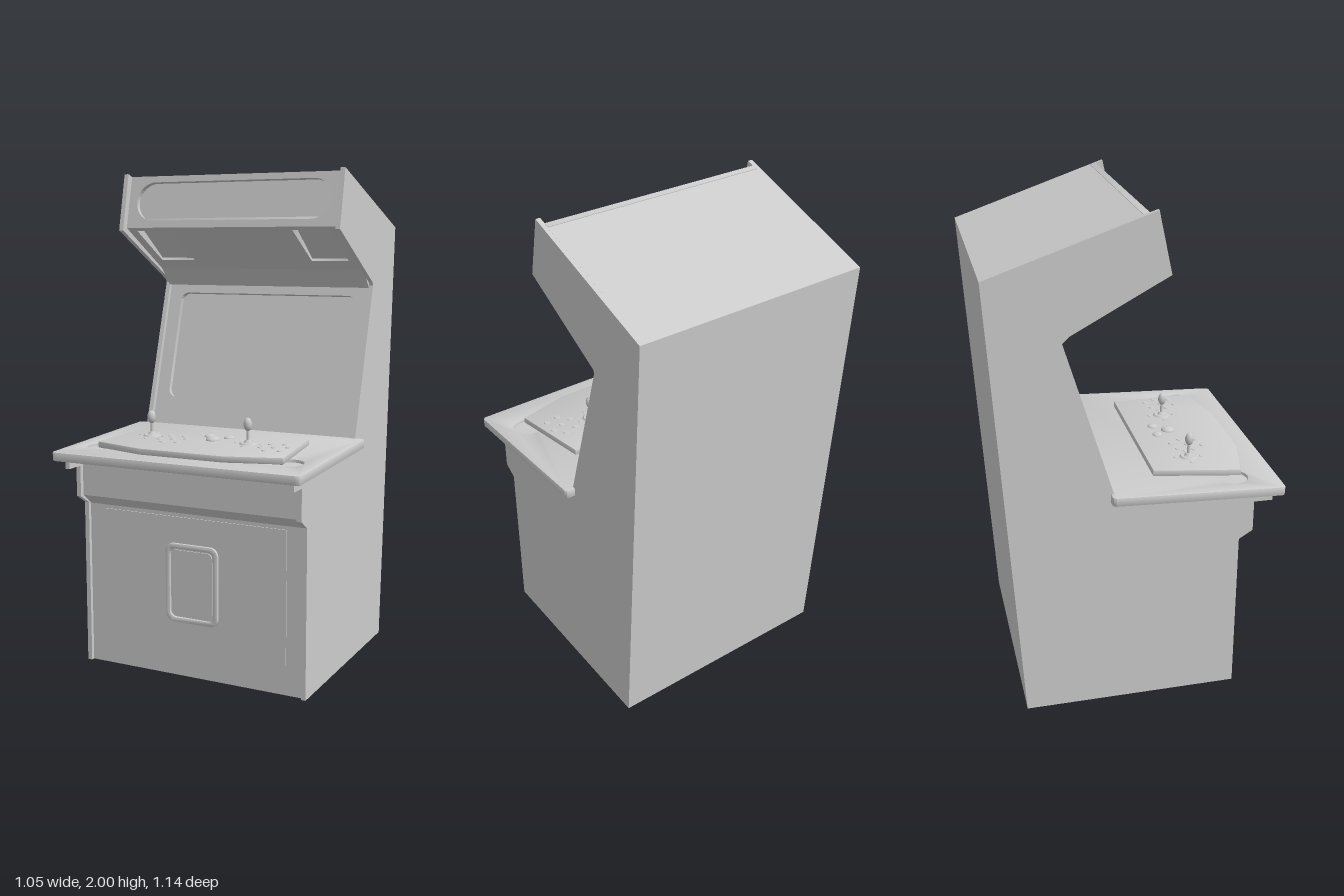
import * as THREE from 'three';
import { toCreasedNormals } from 'three/addons/utils/BufferGeometryUtils.js';

const mat = new THREE.MeshStandardMaterial({ color: 0xcccccc });

function add(parent, name, geo, x = 0, y = 0, z = 0) {
  const m = new THREE.Mesh(geo, mat);
  m.name = name;
  m.position.set(x, y, z);
  parent.add(m);
  return m;
}

const poly = (pts) => new THREE.Shape(pts.map(([x, y]) => new THREE.Vector2(x, y)));

// Rounded rectangle outline; works for shapes and for holes
function roundRect(x0, y0, x1, y1, r) {
  const s = new THREE.Shape();
  s.absarc(x1 - r, y0 + r, r, -Math.PI / 2, 0);
  s.absarc(x1 - r, y1 - r, r, 0, Math.PI / 2);
  s.absarc(x0 + r, y1 - r, r, Math.PI / 2, Math.PI);
  s.absarc(x0 + r, y0 + r, r, Math.PI, Math.PI * 1.5);
  s.closePath();
  return s;
}

// Extrusion with an optional small bevel that keeps the outline size
function extrude(shape, depth, bevel = 0) {
  const g = new THREE.ExtrudeGeometry(shape, {
    depth: depth - 2 * bevel, curveSegments: 10, bevelEnabled: bevel > 0,
    bevelThickness: bevel, bevelSize: bevel, bevelOffset: -bevel, bevelSegments: 2,
  });
  g.translate(0, 0, bevel);
  return toCreasedNormals(g, 0.6);
}

// Side outline given as (z, y), extruded across x
function acrossX(pts, x0, x1) {
  const g = extrude(poly(pts), x1 - x0);
  g.rotateY(-Math.PI / 2);
  g.translate(x1, 0, 0);
  return g;
}

// Plan outline given as (x, -z), standing up from local y = 0
function upright(shape, height, bevel) {
  const g = extrude(shape, height, bevel);
  g.rotateX(-Math.PI / 2);
  return g;
}

// Sloped face plate with cut-outs, running from a low to a high (z, y) point
function facePlate(parent, name, [z0, y0], [z1, y1], depth, holes) {
  const len = Math.hypot(z1 - z0, y1 - y0);
  const s = roundRect(-0.47, 0, 0.47, len, 0.001);
  s.holes.push(...holes);
  const g = extrude(s, depth);
  g.translate(0, 0, -depth);
  const m = add(parent, name, g, 0, y0, z0);
  m.rotation.x = Math.atan2(z1 - z0, y1 - y0);
  return m;
}

function addJoystick(parent, x, z, y) {
  const j = new THREE.Group();
  j.name = 'joystick';
  j.position.set(x, y, z);
  parent.add(j);
  add(j, 'joystickBase', new THREE.CylinderGeometry(0.03, 0.036, 0.007, 24), 0, 0.003, 0);
  add(j, 'joystickCollar', new THREE.CylinderGeometry(0.01, 0.018, 0.012, 16), 0, 0.011, 0);
  add(j, 'joystickShaft', new THREE.CylinderGeometry(0.006, 0.006, 0.06, 12), 0, 0.04, 0);
  add(j, 'joystickKnob', new THREE.SphereGeometry(0.017, 20, 14), 0, 0.077, 0).scale.y = 1.55;
  for (let i = 0; i < 4; i++) {
    const a = i * Math.PI / 2;
    add(j, 'joystickScrew', new THREE.SphereGeometry(0.008, 10, 6), 0.053 * Math.cos(a), 0, 0.053 * Math.sin(a)).scale.y = 0.5;
  }
}

export function createModel() {
  const root = new THREE.Group();
  root.name = 'arcadeCabinet';

  // Side panels standing proud of the inner body
  const side = [
    [-0.46, 0], [0.4, 0.01], [0.4, 0.68], [0.455, 0.715], [0.455, 0.84], [0.53, 0.84], [0.53, 0.9],
    [-0.1, 0.925], [-0.29, 1.545], [-0.285, 1.558], [0.105, 1.77], [0.055, 2], [-0.57, 1.785],
  ];
  add(root, 'leftSidePanel', acrossX(side, 0.468, 0.487));
  add(root, 'rightSidePanel', acrossX(side, -0.487, -0.468));

  // Inner body, set back where the face plates sit
  add(root, 'body', acrossX([
    [-0.46, 0], [0.385, 0.01], [0.385, 0.675], [0.437, 0.718], [0.437, 0.855], [0.5, 0.86], [0.5, 0.9],
    [-0.13, 0.925], [-0.147, 0.93], [-0.327, 1.535], [-0.29, 1.535], [-0.215, 1.61], [-0.238, 1.649],
    [0.045, 1.815], [0.005, 1.983], [-0.57, 1.785],
  ], -0.47, 0.47));

  // Screen bezel, marquee and speaker panel
  facePlate(root, 'screenBezel', [-0.125, 0.93], [-0.305, 1.537], 0.024,
    [roundRect(-0.41, 0.125, 0.41, 0.595, 0.035)]);
  facePlate(root, 'marqueeFrame', [0.075, 1.78], [0.026, 1.99], 0.024,
    [roundRect(-0.43, 0.03, 0.43, 0.19, 0.079)]);
  const speakerPanel = facePlate(root, 'speakerPanel', [-0.215, 1.61], [0.075, 1.78], 0.044,
    [-1, 1].map((s) => roundRect(s * 0.35 - 0.08, 0.07, s * 0.35 + 0.08, 0.31, 0.002)));
  for (const s of [-1, 1]) {
    const grille = add(speakerPanel, 'speakerGrille', new THREE.BoxGeometry(0.16, 0.236, 0.008), s * 0.35, 0.19, -0.026);
    grille.rotation.x = -0.1;
  }

  // Front service panel and coin door
  add(root, 'servicePanel', new THREE.BoxGeometry(0.8, 0.53, 0.01), 0, 0.395, 0.384);
  const frame = roundRect(-0.115, 0.235, 0.115, 0.555, 0.035);
  frame.holes.push(roundRect(-0.095, 0.255, 0.095, 0.535, 0.025));
  add(root, 'coinDoorFrame', extrude(frame, 0.014, 0.004), 0, 0, 0.386);
  add(root, 'coinDoor', extrude(roundRect(-0.088, 0.262, 0.088, 0.528, 0.02), 0.006), 0, 0, 0.387);

  // Control deck, tilted slightly to the front
  const deck = new THREE.Group();
  deck.name = 'controlDeck';
  deck.position.y = 0.931;
  deck.rotation.x = 0.036;
  root.add(deck);
  const top = roundRect(-0.527, -0.57, 0.527, 0.115, 0.018);
  for (const s of [-1, 1]) {
    top.holes.push(new THREE.Path().absarc(s * 0.404, -0.39, 0.06, 0, Math.PI * 2));
    add(deck, 'cupHolderFloor', new THREE.CylinderGeometry(0.062, 0.062, 0.008, 32), s * 0.404, -0.026, 0.39);
  }
  add(deck, 'deckBoard', upright(top, 0.036, 0.004), 0, -0.036, 0);

  // Raised control panel
  const panel = poly([[-0.4, -0.425], [-0.18, -0.48], [0.18, -0.48], [0.4, -0.425], [0.36, -0.08], [-0.36, -0.08]]);
  add(deck, 'controlPanel', upright(panel, 0.027, 0.005), 0, -0.002, 0);
  const py = 0.025;
  addJoystick(deck, -0.255, 0.25, py);
  addJoystick(deck, 0.175, 0.25, py);
  add(deck, 'trackball', new THREE.SphereGeometry(0.028, 24, 14), 0.015, py, 0.237).scale.y = 0.55;
  for (const x of [-0.027, 0.06]) {
    add(deck, 'startButton', new THREE.SphereGeometry(0.021, 20, 12), x, py, 0.182).scale.y = 0.5;
  }

  // Low action buttons, one cluster per player
  const cluster = [[0, 0.23], [0.054, 0.215], [0.086, 0.26], [-0.015, 0.295], [0.036, 0.28], [0.08, 0.328], [0.022, 0.34]];
  for (const x0 of [-0.177, 0.265]) {
    for (const [dx, z] of cluster) {
      add(deck, 'actionButton', new THREE.CylinderGeometry(0.011, 0.014, 0.005, 14), x0 + dx, py + 0.001, z);
    }
  }
  return root;
}
